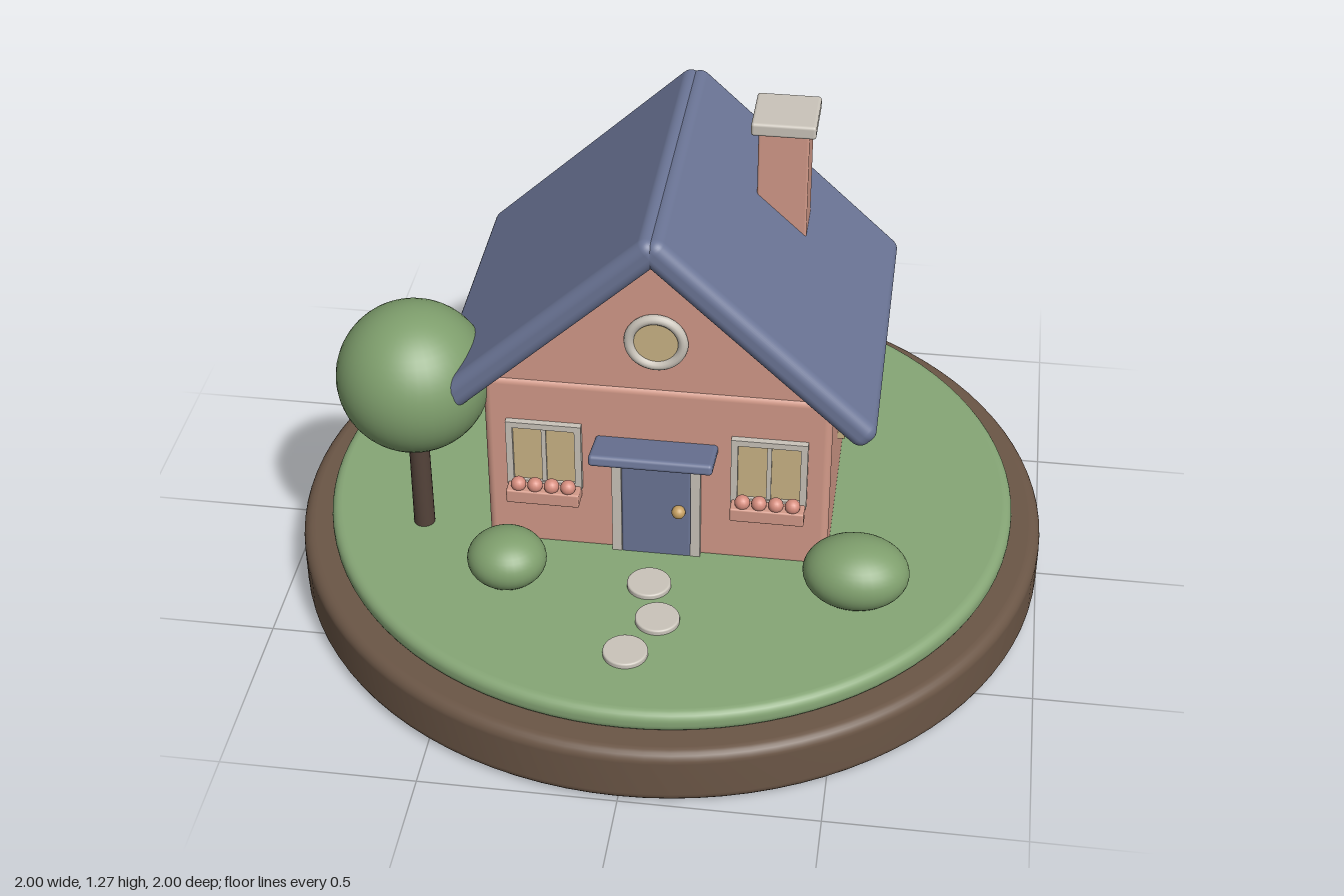
import * as THREE from 'three';
import { RoundedBoxGeometry } from 'three/addons/geometries/RoundedBoxGeometry.js';

const mat = (name, color) => {
  const m = new THREE.MeshStandardMaterial({ color });
  m.name = name;
  return m;
};

export function createModel() {
  const model = new THREE.Group();
  model.name = 'cottage';
  const M = {
    soil: mat('soil brown', 0x6b5646),
    grass: mat('grass green', 0x86a676),
    leaf: mat('leaf green', 0x7f9f6d),
    trunk: mat('bark brown', 0x54433a),
    wall: mat('wall pink', 0xd39a89),
    roof: mat('slate blue', 0x6b7596),
    trim: mat('trim grey', 0xcac4ba),
    glass: mat('warm glass', 0xcab486),
    flower: mat('flower pink', 0xd68d7e),
    brass: mat('brass', 0xc6a062),
  };

  const add = (name, geo, material, x = 0, y = 0, z = 0, parent = model) => {
    const mesh = new THREE.Mesh(geo, material);
    mesh.name = name;
    mesh.position.set(x, y, z);
    parent.add(mesh);
    return mesh;
  };
  const box = (w, h, d, r = 0) =>
    r ? new RoundedBoxGeometry(w, h, d, 4, r) : new THREE.BoxGeometry(w, h, d);

  // Round slab with softened rims, standing on y = 0
  const disc = (radius, h, bevel, sides = 96) => {
    const pts = [new THREE.Vector2(0, 0), new THREE.Vector2(radius - bevel - 0.002, 0)];
    for (const [cy, from] of [[bevel, -Math.PI / 2], [h - bevel, 0]]) {
      for (let i = 0; i <= 6; i++) {
        const a = from + (i / 6) * Math.PI / 2;
        pts.push(new THREE.Vector2(radius - bevel + bevel * Math.cos(a), cy + bevel * Math.sin(a)));
      }
    }
    pts.push(new THREE.Vector2(radius - bevel - 0.002, h), new THREE.Vector2(0, h));
    return new THREE.LatheGeometry(pts, sides);
  };

  // Island
  add('soilBase', disc(1, 0.16, 0.03), M.soil);
  add('lawn', disc(0.92, 0.06, 0.025), M.grass, 0, 0.155, 0);

  // Walls and gable
  const midZ = -0.05;
  add('houseBody', box(0.89, 0.53, 0.685, 0.02), M.wall, 0, 0.465, midZ);
  const tri = new THREE.Shape();
  tri.moveTo(-0.445, 0.725);
  tri.lineTo(0.445, 0.725);
  tri.lineTo(0, 1.155);
  tri.closePath();
  add('gable', new THREE.ExtrudeGeometry(tri, { depth: 0.67, bevelEnabled: false }),
    M.wall, 0, 0, midZ - 0.335);

  // Roof slabs crossing at the ridge
  const pitch = 0.751;
  for (const s of [-1, 1]) {
    const slab = add(s < 0 ? 'roofRight' : 'roofLeft', box(0.765, 0.075, 0.892, 0.03),
      M.roof, s * 0.2645, 0.948, midZ);
    slab.rotation.z = -s * pitch;
  }

  // Chimney
  add('chimney', box(0.13, 0.4, 0.135, 0.006), M.wall, 0.265, 1.04, -0.21);
  add('chimneyCap', box(0.165, 0.036, 0.168, 0.008), M.trim, 0.265, 1.253, -0.21);

  // Round gable window
  const round = new THREE.Group();
  round.name = 'roundWindow';
  round.position.set(0, 0.877, 0.287);
  model.add(round);
  const pane = add('roundGlass', new THREE.CylinderGeometry(0.066, 0.066, 0.02, 40), M.glass, 0, 0, 0, round);
  pane.rotation.x = Math.PI / 2;
  add('roundFrame', new THREE.TorusGeometry(0.068, 0.013, 12, 48), M.trim, 0, 0, 0.008, round);

  // Door with frame, knob and canopy
  const frame = new THREE.Shape();
  frame.moveTo(-0.115, 0.205);
  for (const [x, y] of [[-0.09, 0.205], [-0.09, 0.52], [0.09, 0.52], [0.09, 0.205],
    [0.115, 0.205], [0.115, 0.555], [-0.115, 0.555]]) frame.lineTo(x, y);
  frame.closePath();
  add('doorFrame', new THREE.ExtrudeGeometry(frame, { depth: 0.03, bevelEnabled: false }),
    M.trim, 0, 0, 0.28);
  add('door', box(0.18, 0.315, 0.035, 0.006), M.roof, 0, 0.363, 0.292);
  add('doorKnob', new THREE.SphereGeometry(0.018, 20, 14), M.brass, 0.06, 0.365, 0.318);
  const canopy = add('doorCanopy', box(0.315, 0.03, 0.135, 0.01), M.roof, 0, 0.57, 0.352);
  canopy.rotation.x = -0.22;

  // Front windows with flower boxes
  for (const s of [-1, 1]) {
    const win = new THREE.Group();
    win.name = s < 0 ? 'frontWindowRight' : 'frontWindowLeft';
    win.position.set(s * 0.29, 0.505, 0.292);
    model.add(win);
    const outer = new THREE.Shape();
    outer.moveTo(-0.0975, -0.1);
    outer.lineTo(0.0975, -0.1);
    outer.lineTo(0.0975, 0.1);
    outer.lineTo(-0.0975, 0.1);
    outer.closePath();
    const hole = new THREE.Path();
    hole.moveTo(-0.08, -0.083);
    hole.lineTo(-0.08, 0.083);
    hole.lineTo(0.08, 0.083);
    hole.lineTo(0.08, -0.083);
    hole.closePath();
    outer.holes.push(hole);
    add('windowFrame', new THREE.ExtrudeGeometry(outer, { depth: 0.027, bevelEnabled: false }),
      M.trim, 0, 0, -0.009, win);
    add('windowGlass', box(0.162, 0.168, 0.016), M.glass, 0, 0, 0, win);
    add('windowBar', box(0.012, 0.168, 0.02), M.trim, 0, 0, 0.004, win);
    add('flowerBox', box(0.19, 0.04, 0.06, 0.005), M.wall, 0, -0.11, 0.028, win);
    for (let i = 0; i < 4; i++) {
      add('flower', new THREE.SphereGeometry(0.02, 16, 12), M.flower,
        (i - 1.5) * 0.043, -0.08, 0.038, win);
    }
    // Side window
    add('sideWindow', box(0.025, 0.158, 0.147), M.glass, s * 0.451, 0.501, midZ);
  }

  // Tree
  add('treeTrunk', new THREE.CylinderGeometry(0.026, 0.028, 0.36, 20), M.trunk, -0.63, 0.38, 0.257);
  add('treeCrown', new THREE.SphereGeometry(0.198, 40, 28), M.leaf, -0.63, 0.69, 0.257);

  // Bushes
  const bushes = [[-0.37, 0.268, 0.44, 0.103, 0.075, 0.098], [0.527, 0.28, 0.39, 0.137, 0.091, 0.113]];
  for (const [x, y, z, rx, ry, rz] of bushes) {
    add('bush', new THREE.SphereGeometry(1, 32, 22), M.leaf, x, y, z).scale.set(rx, ry, rz);
  }

  // Stepping stones
  for (const [x, z] of [[0, 0.44], [0.04, 0.572], [-0.022, 0.705]]) {
    add('steppingStone', disc(0.057, 0.024, 0.005, 32), M.trim, x, 0.205, z);
  }

  return model;
}
